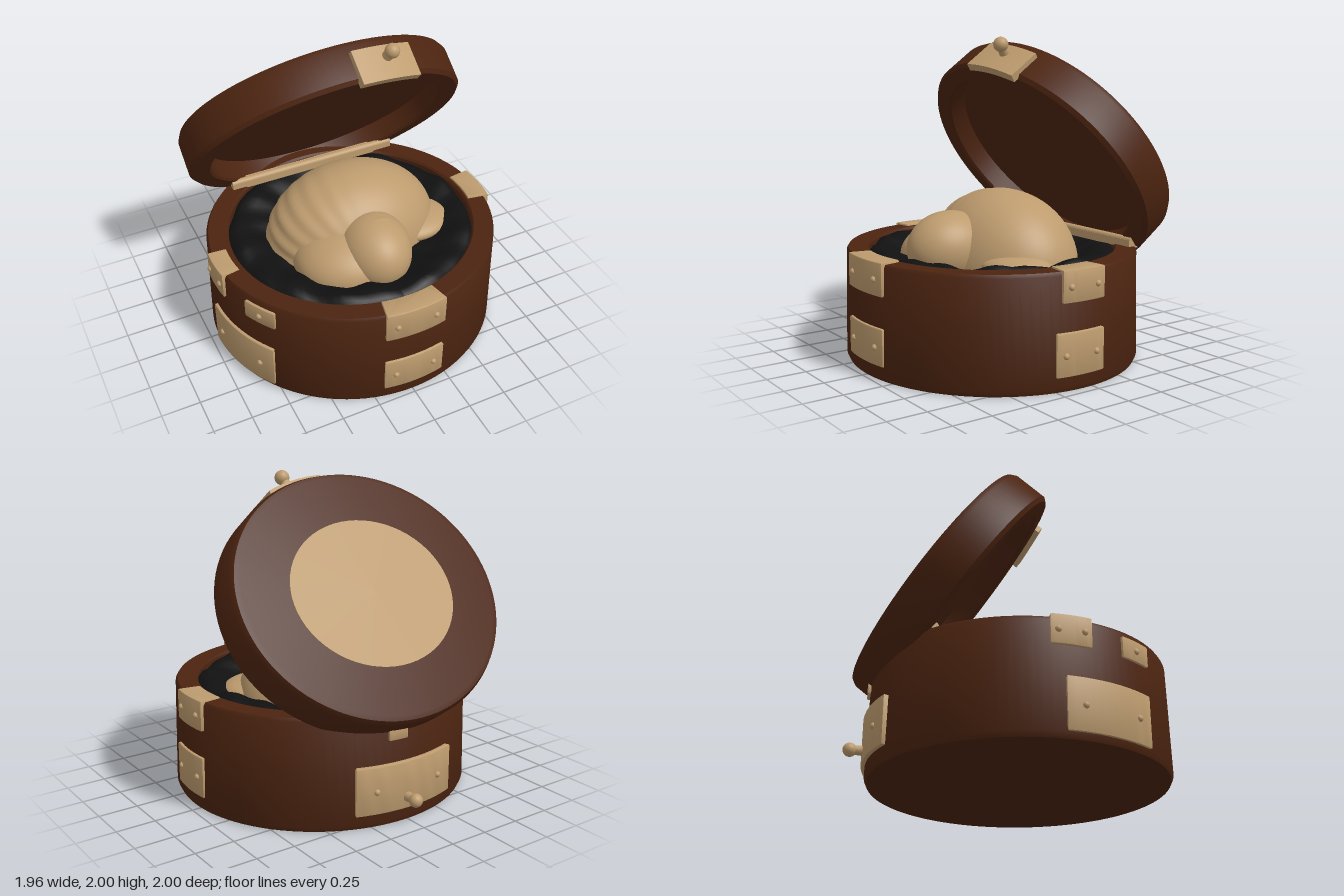
import * as THREE from 'three';
import { toCreasedNormals } from 'three/addons/utils/BufferGeometryUtils.js';
import { ParametricGeometry } from 'three/addons/geometries/ParametricGeometry.js';

const RX = 0.955, RZ = 0.92, CZ = 0.06; // oval plan of the box

export function createModel() {
  const wood = new THREE.MeshStandardMaterial({ color: 0x4c2410 });
  wood.name = 'brown wood';
  const cream = new THREE.MeshStandardMaterial({ color: 0xbd9b6e, side: THREE.DoubleSide });
  cream.name = 'cream shell and fittings';
  const cloth = new THREE.MeshStandardMaterial({ color: 0x111111 });
  cloth.name = 'black cloth';

  const model = new THREE.Group();
  model.name = 'shellBox';

  const add = (parent, name, geo, mat, x = 0, y = 0, z = 0) => {
    const m = new THREE.Mesh(geo, mat);
    m.name = name;
    m.position.set(x, y, z);
    parent.add(m);
    return m;
  };
  const lathe = (pts, sx, sz) => {
    const g = new THREE.LatheGeometry(pts.map(p => new THREE.Vector2(p[0], p[1])), 96);
    g.scale(sx, 1, sz);
    return toCreasedNormals(g, 0.6);
  };
  // point on the oval wall at angle t from the front
  const wall = (t, r, y) => [RX * r * Math.sin(t), y, CZ + RZ * r * Math.cos(t)];

  // Box body: hollow oval drum with softened edges
  add(model, 'boxBody', lathe([[0, 0.01], [0.985, 0.01], [1, 0.04], [0.988, 0.69], [0.975, 0.71],
    [0.85, 0.71], [0.838, 0.695], [0.835, 0.5], [0, 0.5]], RX, RZ), wood, 0, 0, CZ);

  // Crumpled cloth lining with a puffy edge
  const lining = new THREE.LatheGeometry([[0, 0.6], [0.2, 0.6], [0.4, 0.61], [0.55, 0.63], [0.63, 0.66],
    [0.7, 0.69], [0.76, 0.705], [0.81, 0.695], [0.845, 0.65]].reverse()
    .map(p => new THREE.Vector2(p[0], p[1])), 96);
  const lp = lining.attributes.position;
  for (let i = 0; i < lp.count; i++) {
    const x = lp.getX(i), z = lp.getZ(i), r = Math.hypot(x, z), a = Math.atan2(x, z);
    const wave = Math.sin(9 * a + 6 * r) * 0.6 + Math.sin(17 * a - 11 * r) * 0.4;
    lp.setXYZ(i, x * RX, lp.getY(i) + 0.02 * wave * Math.min(1, r * 1.5), z * RZ);
  }
  lining.computeVertexNormals();
  add(model, 'clothLining', lining, cloth, 0, 0, CZ);

  // Curved metal plates following the wall, each with small rivets
  const plate = (name, t0, t1, y0, y1, r0, r1, rivets = 2) => {
    const b = 0.01, n = 12, s = new THREE.Shape();
    for (let i = 0; i <= n; i++) {
      const t = t0 + (t1 - t0) * i / n;
      s[i ? 'lineTo' : 'moveTo'](r1 * Math.sin(t), -r1 * Math.cos(t));
    }
    for (let i = n; i >= 0; i--) {
      const t = t0 + (t1 - t0) * i / n;
      s.lineTo(r0 * Math.sin(t), -r0 * Math.cos(t));
    }
    const g = new THREE.ExtrudeGeometry(s, { depth: y1 - y0 - 2 * b, bevelThickness: b, bevelSize: b,
      bevelOffset: -b, bevelSegments: 2 });
    g.rotateX(-Math.PI / 2);
    g.scale(RX, 1, RZ);
    add(model, name, toCreasedNormals(g, 0.6), cream, 0, y0 + b, CZ);
    for (let i = 0; i < rivets; i++) {
      const t = t0 + (t1 - t0) * (rivets === 1 ? 0.5 : 0.18 + 0.64 * i / (rivets - 1));
      add(model, name + 'Rivet', new THREE.SphereGeometry(0.02, 12, 8), cream,
        ...wall(t, r1 - 0.003, y0 + (y1 - y0) * 0.48));
    }
  };
  plate('frontUpperPlate', -0.21, 0.21, 0.52, 0.725, 0.86, 1.012);
  plate('frontLowerPlate', -0.21, 0.21, 0.1, 0.33, 0.95, 1.012);
  plate('leftUpperPlate', 1.39, 1.71, 0.53, 0.722, 0.86, 1.012);
  plate('leftLowerPlate', 1.35, 1.71, 0.1, 0.36, 0.95, 1.012);
  plate('rightUpperPlate', -1.66, -1.4, 0.54, 0.722, 0.88, 1.008);
  plate('rightSmallPlate', -1.17, -0.93, 0.54, 0.67, 0.95, 1.006, 1);
  plate('rightLowerPlate', -1.57, -0.95, 0.05, 0.36, 0.95, 1.015);
  plate('backPlate', Math.PI - 0.38, Math.PI + 0.36, 0.1, 0.4, 0.95, 1.025);
  plate('backHingePlate', Math.PI - 0.16, Math.PI - 0.03, 0.54, 0.62, 0.95, 1.01, 0);

  // Knob on a stem, pointing along local +z
  const knob = (parent, name, x, y, z, len, r) => {
    const g = new THREE.Group();
    g.name = name;
    g.position.set(x, y, z);
    add(g, 'knobStem', new THREE.CylinderGeometry(r * 0.6, r * 0.75, len, 16), cream, 0, 0, len / 2)
      .rotation.x = Math.PI / 2;
    add(g, 'knobBall', new THREE.SphereGeometry(r, 20, 14), cream, 0, 0, len);
    parent.add(g);
    return g;
  };
  knob(model, 'backKnob', 0.03, 0.175, -0.87, 0.085, 0.042).rotation.y = Math.PI;

  // Open lid: local y is the lid's outward axis, local z points up its slope
  const lid = new THREE.Group();
  lid.name = 'lid';
  lid.position.set(0, 1.34, -0.5);
  lid.rotation.x = -0.946;
  model.add(lid);
  add(lid, 'lidShell', lathe([[0, -0.13], [0.835, -0.13], [0.845, -0.255], [0.86, -0.27], [0.975, -0.27],
    [1, -0.245], [1, -0.04], [0.98, -0.005], [0.95, 0], [0, 0]], 0.935, 0.815), wood);
  const inlay = new THREE.CylinderGeometry(1, 1, 0.009, 64);
  inlay.scale(0.575, 1, 0.475);
  add(lid, 'lidInlay', inlay, cream, 0, 0.002, 0);

  // Clasp on the lid's side
  const clasp = new THREE.Group();
  clasp.name = 'lidClasp';
  clasp.position.set(0.2, -0.19, 0.8);
  clasp.rotation.y = 0.19;
  lid.add(clasp);
  const cg = new THREE.BoxGeometry(0.41, 0.22, 0.05, 12, 1, 1);
  const cp = cg.attributes.position;
  for (let i = 0; i < cp.count; i++) cp.setZ(i, cp.getZ(i) - 0.45 * cp.getX(i) ** 2);
  add(clasp, 'claspPlate', toCreasedNormals(cg, 0.6), cream);
  knob(clasp, 'claspKnob', 0.01, 0.035, 0.02, 0.07, 0.046);

  // Hinge rail where the lid meets the box
  add(model, 'hingeRail', new THREE.BoxGeometry(1.2, 0.05, 0.07), cream, 0.02, 0.725, -0.6);
  add(model, 'hingePin', new THREE.CylinderGeometry(0.025, 0.025, 1.2, 16), cream, 0.02, 0.745, -0.59)
    .rotation.z = Math.PI / 2;

  // Sea shell: large last whorl with growth ridges fanning over one side
  const shell = new THREE.Group();
  shell.name = 'seaShell';
  model.add(shell);
  const body = new THREE.SphereGeometry(1, 96, 64);
  const bp = body.attributes.position;
  for (let i = 0; i < bp.count; i++) {
    const x = bp.getX(i), y = bp.getY(i), z = bp.getZ(i);
    const k = 1 + 0.014 * Math.max(0, -x) * (1 - z * z) * Math.sin(26 * Math.atan2(y, -x) + 3 * z);
    bp.setXYZ(i, x * k * 0.575, y * k * 0.46, z * k * 0.43);
  }
  body.computeVertexNormals();
  add(shell, 'shellBody', body, cream, 0.03, 0.6, 0);

  const blob = (name, x, y, z, rx, ry, rz) =>
    add(shell, name, new THREE.SphereGeometry(1, 40, 28).scale(rx, ry, rz), cream, x, y, z);
  blob('shellShoulder', -0.12, 0.64, 0.27, 0.36, 0.22, 0.33);
  blob('shellFront', 0.01, 0.72, 0.38, 0.23, 0.23, 0.28);
  blob('shellLip', 0.4, 0.65, 0.16, 0.25, 0.08, 0.21);

  // Coiled spire: a tube that winds inward and shrinks towards the apex
  const axis = new THREE.Vector3(-0.05, 0.5, 0.86).normalize();
  const side = new THREE.Vector3(1, 0, 0).addScaledVector(axis, -axis.x).normalize();
  const up = new THREE.Vector3().crossVectors(axis, side);
  const TURNS = 2.6;
  const spire = new ParametricGeometry((u, v, out) => {
    const turn = v * TURNS, s = Math.pow(0.54, turn), t = -2.2 + turn * Math.PI * 2;
    const dir = side.clone().multiplyScalar(Math.cos(t)).addScaledVector(up, Math.sin(t));
    const w = u * Math.PI * 2, R = 0.245 * s, a = R * 0.53;
    out.set(0.01, 0.76, 0.37)
      .addScaledVector(axis, 0.21 * (1 - s) + a * Math.sin(w))
      .addScaledVector(dir, R * 0.47 + a * Math.cos(w));
  }, 28, 130);
  add(shell, 'shellSpire', spire, cream);
  const tip = new THREE.Vector3(0.01, 0.76, 0.37).addScaledVector(axis, 0.18);
  blob('shellApex', tip.x, tip.y, tip.z, 0.05, 0.05, 0.05);

  return model;
}
